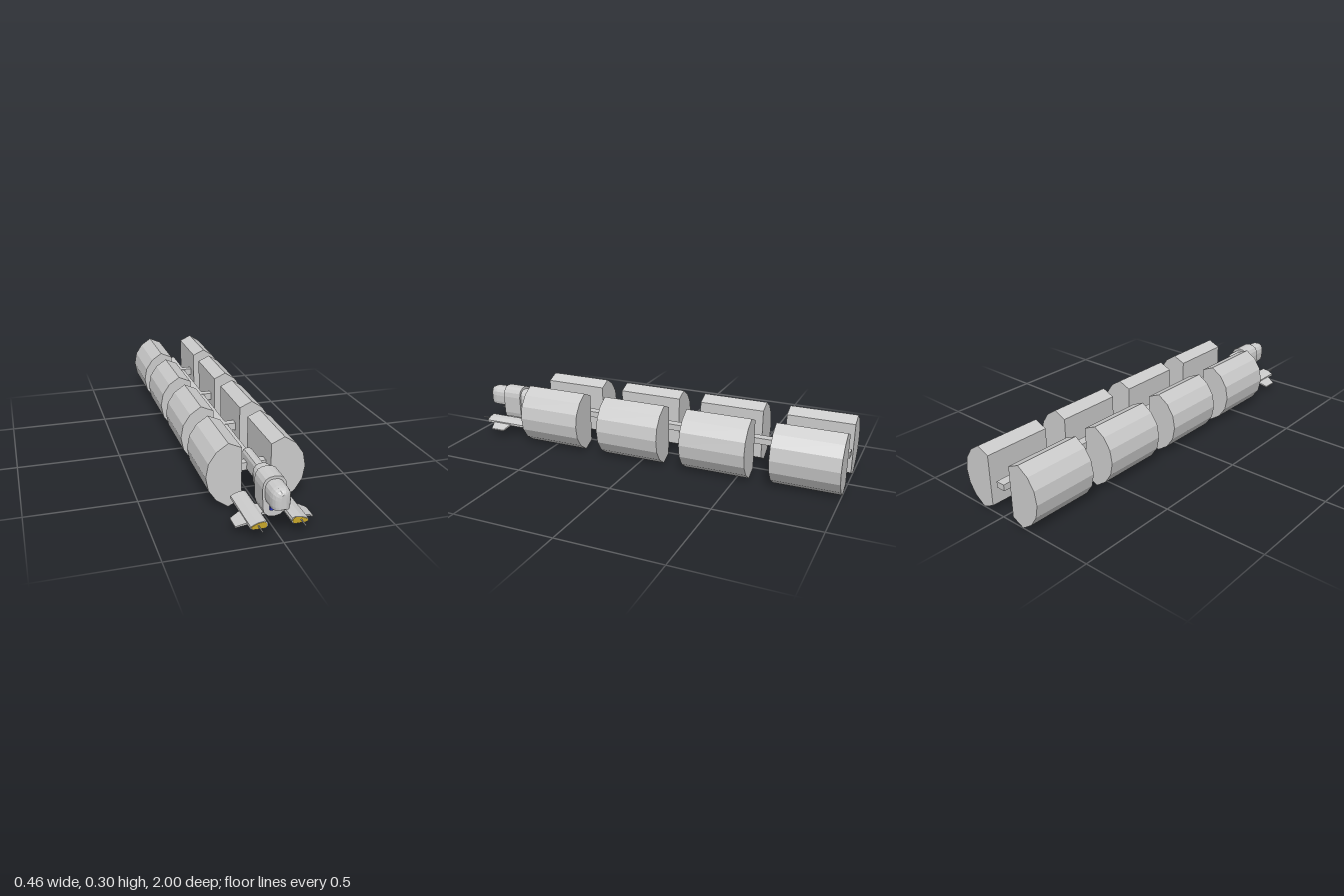
import * as THREE from 'three';

const grey = new THREE.MeshStandardMaterial({ color: 0xcccccc, flatShading: true });
const blue = new THREE.MeshStandardMaterial({ color: 0x2a34c4, flatShading: true });
const yellow = new THREE.MeshStandardMaterial({ color: 0xc8a62a, flatShading: true });

export function createModel() {
  const model = new THREE.Group();
  model.name = 'cargoShip';

  const add = (name, geometry, material = grey, parent = model) => {
    const mesh = new THREE.Mesh(geometry, material);
    mesh.name = name;
    parent.add(mesh);
    return mesh;
  };
  // box given by its limits on each axis
  const box = (name, [x0, x1], [y0, y1], [z0, z1], material, parent) => {
    const g = new THREE.BoxGeometry(Math.abs(x1 - x0), y1 - y0, z1 - z0);
    return add(name, g.translate((x0 + x1) / 2, (y0 + y1) / 2, (z0 + z1) / 2), material, parent);
  };
  // outline in x, y pulled along z
  const prism = (name, points, z0, z1, material, parent) => {
    const shape = new THREE.Shape(points.map(([x, y]) => new THREE.Vector2(x, y)));
    const g = new THREE.ExtrudeGeometry(shape, { depth: z1 - z0, bevelEnabled: false });
    return add(name, g.translate(0, 0, z0), material, parent);
  };
  // right half of an outline, bottom to top, completed by mirroring
  const symmetric = (half) =>
    half.concat(half.filter(([x]) => x > 0).reverse().map(([x, y]) => [-x, y]));
  // skin over scaled copies of one outline: [z, x scale, y scale], scaled about yc
  const loft = (outline, yc, stations) => {
    const n = outline.length, pos = [], index = [];
    stations.forEach(([z, sx, sy]) =>
      outline.forEach(([x, y]) => pos.push(x * sx, yc + (y - yc) * sy, z)));
    for (let r = 0; r < stations.length - 1; r++) {
      for (let i = 0; i < n; i++) {
        const a = r * n + i, b = r * n + (i + 1) % n;
        index.push(a, b, b + n, a, b + n, a + n);
      }
    }
    const last = (stations.length - 1) * n;
    for (let i = 1; i < n - 1; i++) {
      index.push(0, i + 1, i, last, last + i, last + i + 1);
    }
    const g = new THREE.BufferGeometry();
    g.setAttribute('position', new THREE.Float32BufferAttribute(pos, 3));
    g.setIndex(index);
    g.computeVertexNormals();
    return g;
  };

  // Spine with four pairs of cargo pods
  box('spine', [-0.023, 0.023], [0.14, 0.17], [-1, 0.5]);
  const podOutline = [
    [0.067, 0.03], [0.128, 0.001], [0.182, 0.038], [0.217, 0.09], [0.229, 0.153],
    [0.217, 0.216], [0.182, 0.268], [0.128, 0.304], [0.067, 0.277],
  ];
  for (let i = 0; i < 4; i++) {
    const z = -1 + i * 0.443;
    box('podCrossbar', [-0.068, 0.068], [0.135, 0.172], [z + 0.223, z + 0.263]);
    for (const s of [1, -1]) {
      prism(s > 0 ? 'leftCargoPod' : 'rightCargoPod',
        podOutline.map(([x, y]) => [s * x, y]), z, z + 0.326);
    }
  }

  // Neck joining spine and command module, ramped at the back
  const neckOutline = symmetric([[0.023, 0.14], [0.023, 0.198], [0.017, 0.21], [0, 0.215]]);
  add('neck', loft(neckOutline, 0.14, [[0.49, 1, 0.4], [0.53, 1, 1], [0.72, 1, 1]]));

  // Upright hull collar
  prism('hull', symmetric([
    [0, 0.058], [0.026, 0.063], [0.043, 0.077], [0.05, 0.1], [0.053, 0.19],
    [0.049, 0.214], [0.039, 0.231], [0.022, 0.24], [0, 0.243],
  ]), 0.78, 0.882);

  // Cabin running through the collar, rounded at both ends
  const cabinOutline = symmetric([
    [0.037, 0.134], [0.041, 0.15], [0.043, 0.185], [0.04, 0.205],
    [0.031, 0.22], [0.016, 0.229], [0, 0.23],
  ]);
  add('cabin', loft(cabinOutline, 0.165, [
    [0.704, 0.55, 0.72], [0.71, 0.8, 0.86], [0.722, 0.95, 0.97], [0.735, 1, 1],
    [0.942, 1, 1], [0.96, 0.92, 0.97], [0.974, 0.74, 0.9], [0.982, 0.5, 0.8], [0.986, 0.25, 0.68],
  ]));
  box('chinPanel', [-0.021, 0.021], [0.091, 0.136], [0.87, 0.89], blue);

  // Side nacelles with struts, barrels and winglets
  const nacelleOutline = [
    [0.05, 0.067], [0.053, 0.056], [0.06, 0.05], [0.113, 0.05], [0.126, 0.055],
    [0.125, 0.066], [0.095, 0.079], [0.066, 0.083], [0.054, 0.077],
  ];
  for (const s of [1, -1]) {
    const nacelle = new THREE.Group();
    nacelle.name = s > 0 ? 'leftNacelle' : 'rightNacelle';
    model.add(nacelle);
    prism('nacelleBody', nacelleOutline.map(([x, y]) => [s * x, y]), 0.677, 0.95, grey, nacelle);
    prism('nacelleFace',
      nacelleOutline.map(([x, y]) => [s * (0.088 + (x - 0.088) * 0.87), 0.065 + (y - 0.065) * 0.85]),
      0.945, 0.952, yellow, nacelle);
    box('strut', [s * 0.02, s * 0.055], [0.065, 0.075], [0.79, 0.87], grey, nacelle);
    add('barrel', new THREE.CylinderGeometry(0.0028, 0.0028, 0.06, 8)
      .rotateX(Math.PI / 2).translate(s * 0.092, 0.066, 0.97), grey, nacelle);

    // winglet: a box narrowed and lowered toward its tip
    const wing = new THREE.BoxGeometry(1, 1, 1);
    const p = wing.attributes.position;
    for (let i = 0; i < p.count; i++) {
      const tip = p.getX(i) * s > 0, up = p.getY(i) > 0, front = p.getZ(i) > 0;
      p.setXYZ(i, s * (tip ? 0.171 : 0.112),
        tip ? (up ? 0.041 : 0.035) : (up ? 0.066 : 0.056),
        tip ? (front ? 0.892 : 0.818) : (front ? 0.912 : 0.798));
    }
    wing.computeVertexNormals();
    add('winglet', wing, grey, nacelle);
  }
  return model;
}
